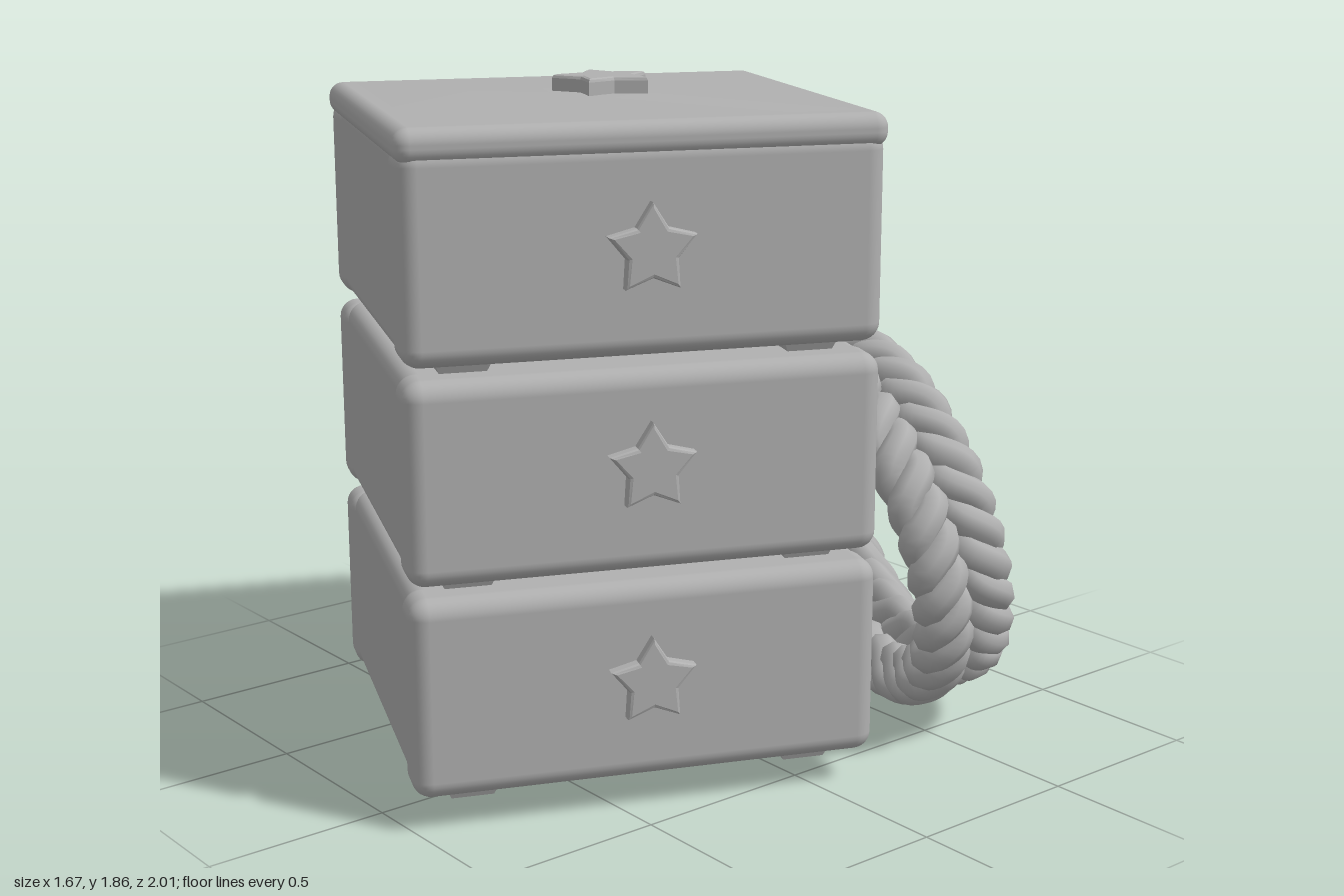
import * as THREE from 'three';
import { RoundedBoxGeometry } from 'three/addons/geometries/RoundedBoxGeometry.js';

export function createModel() {
  const grey = new THREE.MeshStandardMaterial({ color: 0xb0b0b0 });
  grey.name = 'plain grey';
  const model = new THREE.Group();
  model.name = 'stackedBoxes';

  function add(parent, name, geometry, x = 0, y = 0, z = 0) {
    const mesh = new THREE.Mesh(geometry, grey);
    mesh.name = name;
    mesh.position.set(x, y, z);
    parent.add(mesh);
    return mesh;
  }
  const rounded = (w, h, d, r) => new RoundedBoxGeometry(w, h, d, 4, r);

  // Five-pointed star with a softly bevelled rim
  function starGeometry(radius, depth) {
    const shape = new THREE.Shape();
    for (let i = 0; i < 10; i++) {
      const r = (i % 2 ? 0.55 : 1) * (radius - 0.01);
      const a = Math.PI / 2 + (i * Math.PI) / 5;
      if (i) shape.lineTo(r * Math.cos(a), r * Math.sin(a));
      else shape.moveTo(r * Math.cos(a), r * Math.sin(a));
    }
    shape.closePath();
    return new THREE.ExtrudeGeometry(shape, {
      depth: depth - 0.01, bevelEnabled: true, bevelThickness: 0.01, bevelSize: 0.01, bevelSegments: 2,
    });
  }

  // Stack of three boxes, turned about the vertical axis
  const W = 1.14, D = 1.245;
  const stack = new THREE.Group();
  stack.name = 'boxStack';
  stack.position.set(-0.0975, 0, 0.2175);
  stack.rotation.y = -0.4;
  model.add(stack);

  // Tapered square foot
  const footGeometry = new THREE.CylinderGeometry(0.115, 0.08, 0.06, 4).toNonIndexed();
  footGeometry.rotateY(Math.PI / 4);
  footGeometry.computeVertexNormals();

  const tiers = [[0.1, 0.635, 0.375], [0.665, 1.195, 0.945], [1.225, 1.77, 1.5]];
  tiers.forEach(([y0, y1, starY], i) => {
    const tier = new THREE.Group();
    tier.name = 'tier' + (i + 1);
    stack.add(tier);
    const h = y1 - y0, y = (y0 + y1) / 2;
    // Slightly recessed panels between corner posts and a full slab on the star side
    add(tier, 'panels', rounded(W - 0.024, h, D - 0.024, 0.045), 0, y, 0);
    add(tier, 'starSide', rounded(0.16, h, D, 0.05), W / 2 - 0.08, y, 0);
    for (const s of [-1, 1]) {
      add(tier, 'cornerPost', rounded(0.15, h, 0.17, 0.05), -W / 2 + 0.075, y, s * (D / 2 - 0.085));
      for (const t of [-1, 1]) add(tier, 'foot', footGeometry, t * 0.41, y0 - 0.01, s * 0.455);
    }
    const star = add(tier, 'sideStar', starGeometry(0.115, 0.05), W / 2 - 0.015, starY, 0);
    star.rotation.y = Math.PI / 2;
  });

  // Lid with a very low pitched top and a star knob
  add(stack, 'lid', rounded(W + 0.012, 0.09, D + 0.012, 0.04), 0, 1.77, 0);
  const pitch = new THREE.CylinderGeometry(0.1 * Math.SQRT2, 0.5 * Math.SQRT2, 0.015, 4);
  pitch.rotateY(Math.PI / 4);
  pitch.scale(W - 0.07, 1, D - 0.07);
  add(stack, 'lidTop', pitch, 0, 1.8215, 0);
  const knob = add(stack, 'lidStar', starGeometry(0.135, 0.05), 0.01, 1.823, -0.03);
  knob.rotation.set(-Math.PI / 2, 0, 0.4);

  // One strand of a three-strand plait that runs round an oval
  class PlaitCurve extends THREE.Curve {
    constructor(a, b, depth, phase, turns) {
      super();
      Object.assign(this, { a, b, depth, phase, turns });
    }
    getPoint(t, target = new THREE.Vector3()) {
      const angle = t * Math.PI * 2;
      const p = angle * this.turns + this.phase;
      const radial = 0.043 * Math.sin(p);
      const axial = 0.043 * Math.sin(p + Math.PI / 2) * 0.75 + 0.012 * Math.sin(2 * p);
      return target.set(
        (this.a + radial) * Math.cos(angle),
        (this.b + radial) * Math.sin(angle),
        this.depth + axial
      );
    }
  }

  // Tilted coil made of two plaited ropes side by side
  const coil = new THREE.Group();
  coil.name = 'ropeCoil';
  coil.position.set(0.15, 0.57, -0.61);
  coil.rotation.set(0.22, -0.38, 0, 'YXZ');
  model.add(coil);
  const ropes = [[0.615, 0.468, 0.068, 11], [0.59, 0.45, -0.068, -11]];
  ropes.forEach(([a, b, depth, turns], i) => {
    for (let k = 0; k < 3; k++) {
      const curve = new PlaitCurve(a, b, depth, (k * Math.PI * 2) / 3, turns);
      add(coil, 'rope' + (i + 1) + 'Strand', new THREE.TubeGeometry(curve, 264, 0.047, 8, true));
    }
  });

  return model;
}
